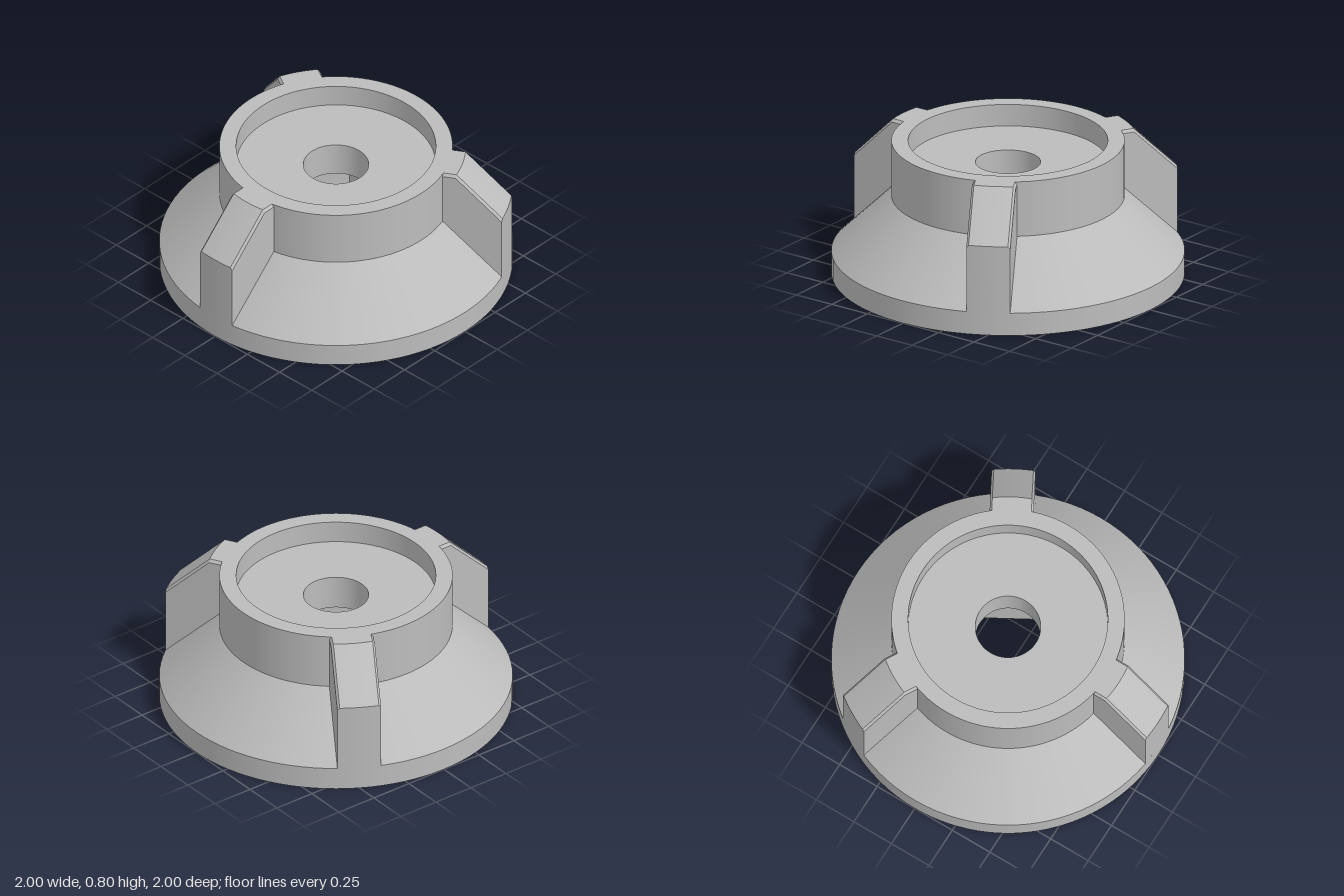
import * as THREE from 'three';
import { toCreasedNormals } from 'three/addons/utils/BufferGeometryUtils.js';

const metal = new THREE.MeshStandardMaterial({ color: 0xbcbcbc });
metal.name = 'grey metal';

function part(name, geometry) {
  const mesh = new THREE.Mesh(geometry, metal);
  mesh.name = name;
  return mesh;
}

// Revolved part made of one band per profile segment, so edges stay sharp
function revolve(name, profile) {
  const group = new THREE.Group();
  group.name = name;
  for (let i = 0; i < profile.length - 1; i++) {
    const points = [profile[i], profile[i + 1]].map(([r, y]) => new THREE.Vector2(r, y));
    group.add(part(name + 'Band', new THREE.LatheGeometry(points, 96)));
  }
  return group;
}

function hexPoints(radius) {
  return Array.from({ length: 6 }, (_, i) => {
    const a = Math.PI / 6 + i * Math.PI / 3;
    return new THREE.Vector2(radius * Math.cos(a), radius * Math.sin(a));
  });
}

// Flat face looking down at height y
function faceDown(name, shape, y) {
  return part(name, new THREE.ShapeGeometry(shape, 96).rotateX(Math.PI / 2).translate(0, y, 0));
}

// Six walls looking inwards
function hexWalls(name, bottomRadius, topRadius, y0, y1) {
  const g = new THREE.CylinderGeometry(topRadius, bottomRadius, y1 - y0, 6, 1, true)
    .scale(-1, 1, 1).translate(0, (y0 + y1) / 2, 0).toNonIndexed();
  // Mirroring turns the walls inwards once the corner order is reversed
  g.computeVertexNormals();
  return part(name, g);
}

// Rib with a round outer face, conical slope and chamfered long edges
function ribGeometry() {
  const half = 0.125, flat = 0.112, drop = 0.017;
  const sections = [-half];
  for (let i = 0; i <= 8; i++) sections.push(-flat + (2 * flat * i) / 8);
  sections.push(half);

  const positions = [], index = [], n = 5;
  for (const t of sections) {
    const d = Math.abs(t) > flat + 0.001 ? drop : 0;
    const at = (r) => Math.sqrt(r * r - t * t);
    const inner = at(0.66) - 0.02;
    const profile = [
      [inner, 0.135], [at(1), 0.135], [at(1), 0.537 - d], [at(0.735), 0.8 - d], [inner, 0.8 - d],
    ];
    for (const [x, y] of profile) positions.push(x, y, t);
  }
  for (let i = 0; i < sections.length - 1; i++) {
    for (let j = 0; j < n; j++) {
      const k = (j + 1) % n;
      const a = i * n + j, b = i * n + k, c = b + n, d = a + n;
      index.push(a, b, c, a, c, d);
    }
  }
  const last = (sections.length - 1) * n;
  for (let j = 1; j < n - 1; j++) {
    index.push(0, j + 1, j, last, last + j, last + j + 1);
  }
  const g = new THREE.BufferGeometry();
  g.setAttribute('position', new THREE.Float32BufferAttribute(positions, 3));
  g.setIndex(index);
  return toCreasedNormals(g, 0.4);
}

export function createModel() {
  const model = new THREE.Group();
  model.name = 'ribbedHub';

  // Body: groove underneath, flange, cone, collar, recess and bore
  model.add(revolve('sealGroove', [[0.56, 0], [0.56, 0.08], [0.6, 0.08], [0.6, 0]]));
  model.add(revolve('flange', [[0.6, 0], [1, 0], [1, 0.135], [0.66, 0.47]]));
  model.add(revolve('collar', [[0.66, 0.47], [0.66, 0.8], [0.565, 0.8]]));
  model.add(revolve('recess', [[0.565, 0.8], [0.565, 0.67], [0.185, 0.67]]));
  model.add(revolve('bore', [[0.185, 0.67], [0.185, 0.47]]));

  // Underside disc around the hexagonal socket
  const disc = new THREE.Shape().absarc(0, 0, 0.56, 0, Math.PI * 2);
  disc.holes.push(new THREE.Path(hexPoints(0.35)));
  model.add(faceDown('undersideDisc', disc, 0));

  // Hexagonal socket with a chamfered mouth
  model.add(hexWalls('socketChamfer', 0.35, 0.33, 0, 0.02));
  model.add(hexWalls('socketWalls', 0.33, 0.33, 0.02, 0.47));
  const ceiling = new THREE.Shape(hexPoints(0.33));
  ceiling.holes.push(new THREE.Path().absarc(0, 0, 0.185, 0, Math.PI * 2));
  model.add(faceDown('socketCeiling', ceiling, 0.47));

  // Three ribs around the collar
  const rib = ribGeometry();
  for (const angle of [Math.PI, Math.PI / 3, -Math.PI / 3]) {
    const mesh = part('rib', rib);
    mesh.rotation.y = angle;
    model.add(mesh);
  }
  return model;
}
